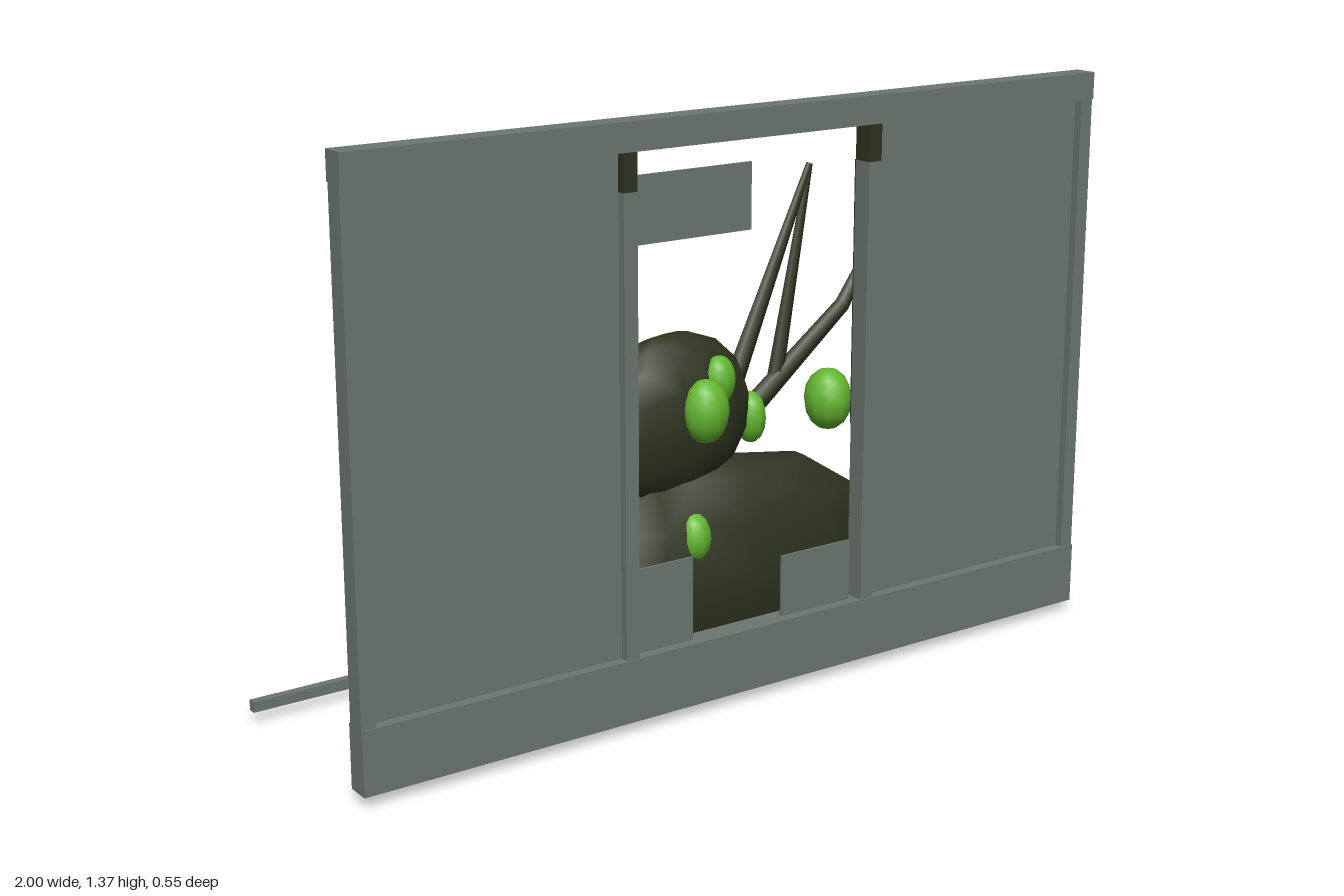
import * as THREE from 'three';

const mat = (name, color) => {
  const m = new THREE.MeshStandardMaterial({ color });
  m.name = name;
  return m;
};

export function createModel() {
  const root = new THREE.Group();
  const grey = mat('frameGrey', 0x6d7772);
  const dark = mat('darkOlive', 0x2f3420);
  const green = mat('brightGreen', 0x64b72f);

  const add = (parent, name, geo, material) => {
    const mesh = new THREE.Mesh(geo, material);
    mesh.name = name;
    parent.add(mesh);
    return mesh;
  };
  // Box given by its lower and upper corners
  const box = (parent, name, m, x0, x1, y0, y1, z0, z1) => {
    const mesh = add(parent, name, new THREE.BoxGeometry(x1 - x0, y1 - y0, z1 - z0), m);
    mesh.position.set((x0 + x1) / 2, (y0 + y1) / 2, (z0 + z1) / 2);
    return mesh;
  };
  // Stretched low-poly ball with a vertex facing front
  const ball = (parent, name, m, pos, radii, sides, rings, tilt = 0) => {
    const geo = new THREE.SphereGeometry(1, sides, rings);
    geo.rotateY(Math.PI / 2);
    geo.scale(...radii);
    const mesh = add(parent, name, geo, m);
    mesh.position.set(...pos);
    mesh.rotation.z = tilt;
    return mesh;
  };

  // Window frame
  const frame = new THREE.Group();
  frame.name = 'windowFrame';
  root.add(frame);
  box(frame, 'topRail', grey, -1, 1, 1.305, 1.37, 0.22, 0.277);
  box(frame, 'bottomRail', grey, -1, 1, 0.03, 0.178, 0.22, 0.277);
  box(frame, 'rearBar', grey, -1, 1, 0.03, 0.055, -0.277, -0.257);
  for (const s of [-1, 1]) {
    const span = (name, m, a, b, ...rest) =>
      box(frame, name, m, Math.min(s * a, s * b), Math.max(s * a, s * b), ...rest);
    span('sidePost', grey, 0.965, 1, 0.178, 1.305, 0.225, 0.273);
    span('innerPost', grey, 0.313, 0.348, 0.178, 1.22, 0.225, 0.273);
    span('innerPostTop', dark, 0.313, 0.348, 1.22, 1.305, 0.225, 0.273);
    span('sidePanel', grey, 0.348, 0.965, 0.178, 1.305, 0.245, 0.253);
  }
  box(frame, 'postBackStrip', dark, 0.313, 0.348, 0.6, 1.22, 0.222, 0.225);

  // Sheets pinned in the opening
  box(frame, 'upperSheet', grey, -0.3, 0, 1.1, 1.25, 0.246, 0.252);
  box(frame, 'lowerRightSheet', grey, -0.3, -0.155, 0.178, 0.375, 0.246, 0.252);
  box(frame, 'lowerLeftSheet', grey, 0.095, 0.295, 0.178, 0.325, 0.246, 0.252);

  // Creature behind the opening
  const creature = new THREE.Group();
  creature.name = 'creature';
  root.add(creature);
  ball(creature, 'body', dark, [0.05, 0.273, 0.1], [0.44, 0.27, 0.12], 10, 6);
  ball(creature, 'head', dark, [-0.1, 0.65, 0.075], [0.225, 0.195, 0.098], 12, 8, 0.18);

  // Scattered eyes: position, radii
  const eyes = [
    [[-0.065, 0.68, 0.175], [0.057, 0.075, 0.05]],
    [[-0.005, 0.735, 0.14], [0.042, 0.058, 0.035]],
    [[0.115, 0.62, 0.1], [0.036, 0.062, 0.04]],
    [[0.348, 0.625, 0.095], [0.058, 0.075, 0.06]],
    [[-0.095, 0.385, 0.17], [0.042, 0.06, 0.042]],
    [[-0.195, 0.465, 0.02], [0.072, 0.065, 0.045]],
  ];
  for (const [pos, radii] of eyes) ball(creature, 'eye', green, pos, radii, 10, 8);

  // Tapered antler limb between two points
  const limb = (parent, a, b, ra, rb) => {
    const from = new THREE.Vector3(...a);
    const dir = new THREE.Vector3(...b).sub(from);
    const mesh = add(parent, 'antlerLimb', new THREE.CylinderGeometry(rb, ra, dir.length(), 7), dark);
    mesh.position.copy(from).addScaledVector(dir, 0.5);
    mesh.quaternion.setFromUnitVectors(new THREE.Vector3(0, 1, 0), dir.normalize());
  };
  for (const s of [-1, 1]) {
    const antler = new THREE.Group();
    antler.name = s > 0 ? 'leftAntler' : 'rightAntler';
    creature.add(antler);
    const p = (x, y, z) => [s * x, y, z];
    limb(antler, p(0.08, 0.57, 0.055), p(0.445, 0.83, 0.025), 0.028, 0.019);
    limb(antler, p(0.44, 0.825, 0.025), p(0.7, 1.175, 0), 0.019, 0.007);
    limb(antler, p(0.07, 0.62, 0.05), p(0.357, 1.175, 0), 0.026, 0.008);
    limb(antler, p(0.23, 0.68, 0.04), p(0.357, 1.175, 0), 0.02, 0.008);
  }
  return root;
}
